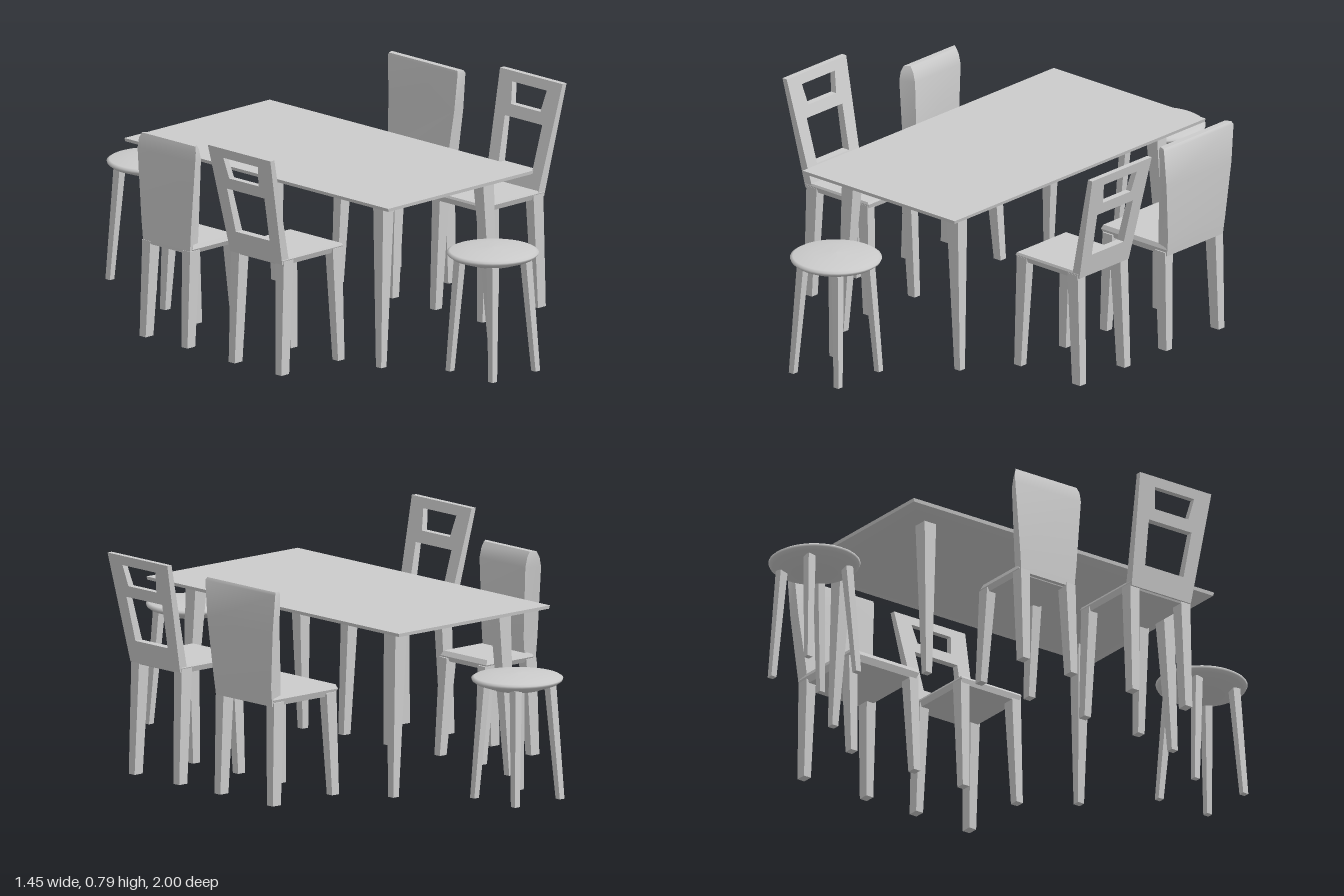
import * as THREE from 'three';
import { toCreasedNormals } from 'three/addons/utils/BufferGeometryUtils.js';

const grey = new THREE.MeshStandardMaterial({ color: 0xcccccc });
grey.name = 'grey';

function add(parent, name, geometry) {
  const mesh = new THREE.Mesh(geometry, grey);
  mesh.name = name;
  parent.add(mesh);
  return mesh;
}

// Box lofted through rows, bottom to top:
// [y, centre x, centre z, half x, half z at -x side, half z at +x side]
function loft(parent, name, rows) {
  const n = rows.length - 1;
  const g = new THREE.BoxGeometry(1, 1, 1, 1, n, 1);
  const p = g.attributes.position;
  for (let i = 0; i < p.count; i++) {
    const [y, cx, cz, hx, za, zb = za] = rows[Math.round((p.getY(i) + 0.5) * n)];
    const sx = Math.sign(p.getX(i)), sz = Math.sign(p.getZ(i));
    p.setXYZ(i, cx + sx * hx, y, cz + sz * (sx < 0 ? za : zb));
  }
  return add(parent, name, toCreasedNormals(g, 0.6));
}

function group(parent, name, x, z, turn = 0) {
  const g = new THREE.Group();
  g.name = name;
  g.position.set(x, 0, z);
  g.rotation.y = turn;
  parent.add(g);
  return g;
}

// Table with a bevelled underside and splayed tapering legs
function table(parent) {
  const t = group(parent, 'table', -0.045, 0);
  loft(t, 'tableTop', [
    [0.583, 0, 0, 0.30, 0.595],
    [0.596, 0, 0, 0.352, 0.648],
    [0.608, 0, 0, 0.355, 0.65],
  ]);
  for (const sx of [-1, 1]) for (const sz of [-1, 1])
    loft(t, 'tableLeg', [
      [0, sx * 0.272, sz * 0.532, 0.013, 0.013],
      [0.59, sx * 0.243, sz * 0.515, 0.027, 0.025],
    ]);
}

// Round stool with a domed seat
function stool(parent, z) {
  const s = group(parent, 'stool', -0.075, z);
  const profile = [[0, 0.39], [0.085, 0.39], [0.145, 0.411], [0.157, 0.42], [0.16, 0.428],
    [0.15, 0.434], [0.08, 0.443], [0, 0.446]].map(([r, y]) => new THREE.Vector2(r, y));
  add(s, 'stoolSeat', new THREE.LatheGeometry(profile, 40));
  for (const sx of [-1, 1]) for (const sz of [-1, 1])
    loft(s, 'stoolLeg', [
      [0, sx * 0.105, sz * 0.105, 0.011, 0.011],
      [0.405, sx * 0.081, sz * 0.081, 0.015, 0.015],
    ]);
}

// Four chair legs; each spec gives bottom and top x centres
function chairLegs(c, front, back, top, halfZ) {
  for (const s of [-1, 1]) {
    loft(c, 'frontLeg', [
      [0, front[0], s * (halfZ - 0.014), 0.016, 0.014],
      [top, front[1], s * (halfZ - 0.019), 0.023, 0.019],
    ]);
    loft(c, 'backLeg', [
      [0, back[0], s * (halfZ - 0.015), 0.019, 0.015],
      [top, back[1], s * (halfZ - 0.02), 0.024, 0.02],
    ]);
  }
}

function quad(path, y0, w0, y1, w1) {
  path.moveTo(-w0, y0);
  path.lineTo(w0, y0);
  path.lineTo(w1, y1);
  path.lineTo(-w1, y1);
  path.closePath();
  return path;
}

// Chair with two openings in a leaning back
function openChair(parent, turn) {
  const c = group(parent, 'openBackChair', 0, 0.242, turn);
  loft(c, 'seat', [
    [0.392, 0.49, 0, 0.14, 0.122],
    [0.412, 0.492, 0, 0.148, 0.13],
    [0.42, 0.492, 0, 0.144, 0.127],
  ]);
  chairLegs(c, [0.353, 0.372], [0.627, 0.61], 0.408, 0.13);
  const shape = quad(new THREE.Shape(), 0.398, 0.128, 0.792, 0.154);
  shape.holes.push(quad(new THREE.Path(), 0.48, 0.083, 0.64, 0.092));
  shape.holes.push(quad(new THREE.Path(), 0.682, 0.072, 0.757, 0.085));
  const g = new THREE.ExtrudeGeometry(shape, { depth: 1, bevelEnabled: false });
  g.rotateY(Math.PI / 2);
  // lean the frame and thin it towards the top
  const p = g.attributes.position;
  for (let i = 0; i < p.count; i++) {
    const t = (p.getY(i) - 0.398) / 0.394;
    p.setX(i, 0.606 + t * 0.098 + p.getX(i) * (0.034 - 0.014 * t));
  }
  g.computeVertexNormals();
  add(c, 'openBack', g);
}

// Tall chair with a solid widening back
function tallChair(parent) {
  const c = group(parent, 'tallSolidChair', 0, -0.222);
  loft(c, 'seat', [
    [0.352, 0.492, 0, 0.142, 0.14],
    [0.375, 0.492, 0, 0.152, 0.148],
    [0.39, 0.492, 0, 0.146, 0.142],
  ]);
  chairLegs(c, [0.353, 0.372], [0.629, 0.618], 0.365, 0.15);
  loft(c, 'solidBack', [
    [0.352, 0.624, 0, 0.022, 0.14, 0.145],
    [0.42, 0.63, 0, 0.024, 0.145, 0.148],
    [0.62, 0.646, 0, 0.019, 0.162, 0.168],
    [0.755, 0.649, 0, 0.015, 0.172, 0.18],
    [0.765, 0.647, 0, 0.011, 0.169, 0.176],
  ]);
}

// Small chair with a padded back
function paddedChair(parent) {
  const c = group(parent, 'paddedChair', 0, -0.228, Math.PI);
  loft(c, 'seat', [
    [0.332, 0.49, 0, 0.105, 0.108],
    [0.35, 0.49, 0, 0.112, 0.118],
    [0.366, 0.49, 0, 0.102, 0.112],
  ]);
  chairLegs(c, [0.365, 0.395], [0.608, 0.59], 0.345, 0.118);
  loft(c, 'paddedBack', [
    [0.335, 0.59, 0, 0.022, 0.108, 0.115],
    [0.42, 0.588, 0, 0.026, 0.108, 0.122],
    [0.67, 0.587, 0, 0.026, 0.118, 0.142],
    [0.705, 0.589, 0, 0.019, 0.118, 0.14],
    [0.725, 0.592, 0, 0.01, 0.118, 0.132],
  ]);
}

export function createModel() {
  const model = new THREE.Group();
  model.name = 'diningSet';
  table(model);
  for (const s of [-1, 1]) stool(model, s * 0.838);
  openChair(model, 0);
  openChair(model, Math.PI);
  tallChair(model);
  paddedChair(model);
  return model;
}
